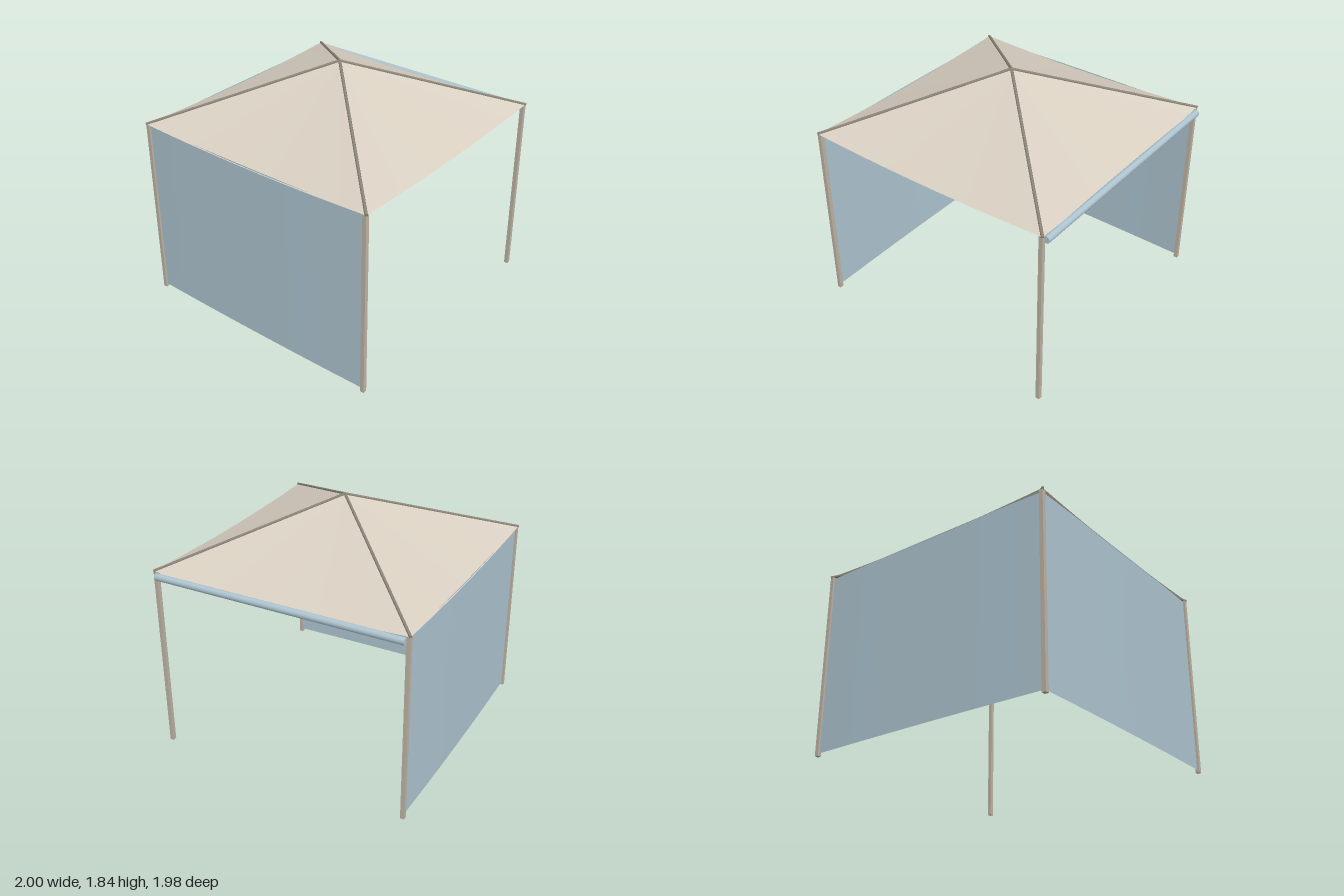
import * as THREE from 'three';

const canopyMat = new THREE.MeshStandardMaterial({ color: 0xd8cfc1, side: THREE.DoubleSide });
canopyMat.name = 'beige canopy fabric';
const wallMat = new THREE.MeshStandardMaterial({ color: 0xadc4d0, side: THREE.DoubleSide });
wallMat.name = 'pale blue wall fabric';
const postMat = new THREE.MeshStandardMaterial({ color: 0xbdb3a4 });
postMat.name = 'taupe post metal';
const ridgeMat = new THREE.MeshStandardMaterial({ color: 0x8c8578 });
ridgeMat.name = 'dark taupe ridge metal';

const HALF = 0.98;      // corner of the canopy
const POST = 0.965;     // centre line of the posts
const EAVE = 1.414;
const PEAK = 1.832;

function add(parent, name, geometry, material) {
  const mesh = new THREE.Mesh(geometry, material);
  mesh.name = name;
  parent.add(mesh);
  return mesh;
}

// One triangular roof panel facing +z, slack along its eave
function canopyPanel() {
  const geo = new THREE.PlaneGeometry(2, 1, 20, 12);
  const p = geo.attributes.position;
  for (let i = 0; i < p.count; i++) {
    const u = p.getX(i);
    const v = p.getY(i) + 0.5;
    const sag = 0.025 * (1 - u * u) * (1 - v);
    p.setXYZ(i, u * HALF * (1 - v), EAVE + (PEAK - EAVE) * v - sag, HALF * (1 - v));
  }
  geo.computeVertexNormals();
  return geo;
}

// Hanging fabric wall facing +z with a slight outward billow
function wallPanel() {
  const w = 1.91, bottom = 0.02, top = 1.4;
  const geo = new THREE.PlaneGeometry(w, top - bottom, 20, 8);
  geo.translate(0, (top + bottom) / 2, POST);
  const p = geo.attributes.position;
  for (let i = 0; i < p.count; i++) {
    const u = p.getX(i) / (w / 2);
    p.setZ(i, POST + 0.01 * (1 - u * u));
  }
  geo.computeVertexNormals();
  return geo;
}

// Straight round bar between two points
function bar(a, b, radius) {
  const dir = b.clone().sub(a);
  const geo = new THREE.CylinderGeometry(radius, radius, dir.length(), 8);
  geo.applyQuaternion(new THREE.Quaternion().setFromUnitVectors(
    new THREE.Vector3(0, 1, 0), dir.clone().normalize()));
  const mid = a.clone().add(b).multiplyScalar(0.5);
  return geo.translate(mid.x, mid.y, mid.z);
}

export function createModel() {
  const model = new THREE.Group();
  model.name = 'gazebo';
  const tent = new THREE.Group();
  tent.name = 'tent';
  tent.position.x = -0.015;
  model.add(tent);

  // Four roof panels
  ['front', 'left', 'back', 'right'].forEach((side, i) => {
    add(tent, side + 'CanopyPanel', canopyPanel(), canopyMat).rotation.y = i * Math.PI / 2;
  });

  // Corner posts and the hip bars running up to the peak
  const peak = new THREE.Vector3(0, PEAK, 0);
  for (const sx of [-1, 1]) {
    for (const sz of [-1, 1]) {
      const name = (sz > 0 ? 'front' : 'back') + (sx > 0 ? 'Left' : 'Right');
      add(tent, name + 'Post', new THREE.BoxGeometry(0.03, 1.41, 0.03), postMat)
        .position.set(sx * POST, 0.705, sz * POST);
      add(tent, name + 'RidgeBar',
        bar(new THREE.Vector3(sx * HALF, EAVE, sz * HALF), peak, 0.011), ridgeMat);
    }
  }

  // Two closed walls
  add(tent, 'backWall', wallPanel(), wallMat).rotation.y = Math.PI;
  add(tent, 'rightWall', wallPanel(), wallMat).rotation.y = -Math.PI / 2;

  // Rolled-up wall hanging under the open side's eave
  const roll = new THREE.CylinderGeometry(0.026, 0.026, 1.905, 20);
  roll.rotateX(Math.PI / 2);
  add(tent, 'rolledWall', roll, wallMat).position.set(0.989, 1.38, 0);

  return model;
}
